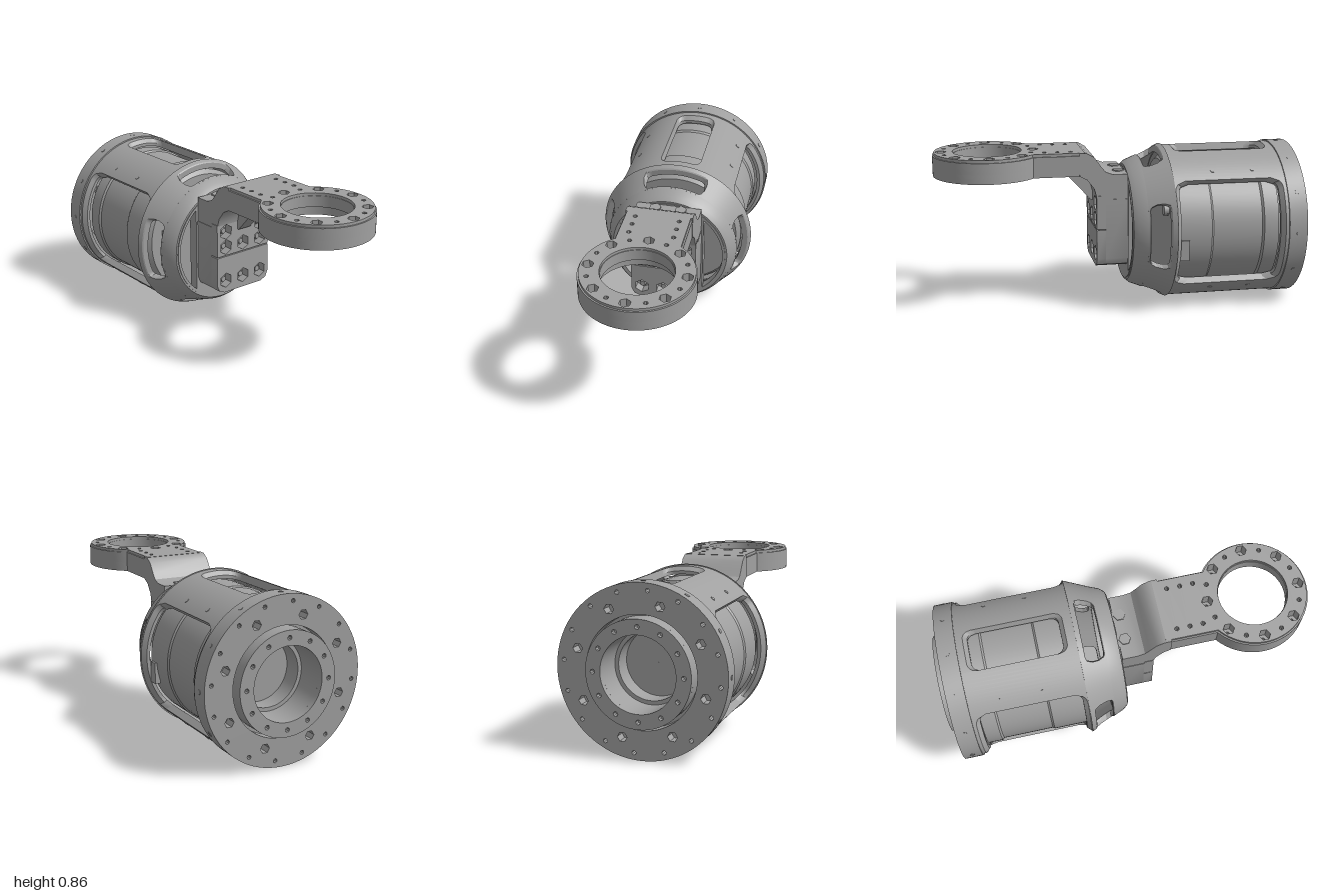
import * as THREE from 'three';
import { toCreasedNormals } from 'three/addons/utils/BufferGeometryUtils.js';

const CY = 0.43; // height of the drum axis
const TAU = Math.PI * 2;
const metal = new THREE.MeshStandardMaterial({ color: 0xa0a0a0 });
metal.name = 'grey metal';

// Sweep a closed (r, z) loop around the drum axis from angle t0 to t1
function sweep(t0, t1, n, loopAt) {
  const pos = [];
  const rings = [];
  for (let i = 0; i <= n; i++) {
    const t = t0 + (t1 - t0) * i / n;
    rings.push(loopAt(t).map(([r, z]) => [r * Math.cos(t), CY + r * Math.sin(t), z]));
  }
  const m = rings[0].length;
  for (let i = 0; i < n; i++) for (let j = 0; j < m; j++) {
    const k = (j + 1) % m;
    const a = rings[i][j], b = rings[i + 1][j], c = rings[i + 1][k], d = rings[i][k];
    pos.push(...a, ...b, ...c, ...a, ...c, ...d);
  }
  if (t1 - t0 < TAU - 0.001) {
    const cap = (t, ring, flip) => {
      const pts = loopAt(t).map(([r, z]) => new THREE.Vector2(r, z));
      for (const f of THREE.ShapeUtils.triangulateShape(pts, [])) {
        const [a, b, c] = flip ? [f[0], f[2], f[1]] : f;
        pos.push(...ring[a], ...ring[b], ...ring[c]);
      }
    };
    cap(t0, rings[0], false);
    cap(t1, rings[n], true);
  }
  const g = new THREE.BufferGeometry();
  g.setAttribute('position', new THREE.Float32BufferAttribute(pos, 3));
  return toCreasedNormals(g, 0.5);
}

// Regular polygon path, used for bolt pockets and small holes
function poly(x, y, r, n, turn = 0) {
  const pts = [];
  for (let i = 0; i < n; i++) {
    const a = turn + TAU * i / n;
    pts.push(new THREE.Vector2(x + r * Math.cos(a), y + r * Math.sin(a)));
  }
  return new THREE.Path(pts);
}

const shapeOf = (pts) => new THREE.Shape(pts.map(([x, y]) => new THREE.Vector2(x, y)));

function extrude(shape, depth, bevel = 0) {
  return toCreasedNormals(new THREE.ExtrudeGeometry(shape, {
    depth: depth - 2 * bevel, curveSegments: 40, bevelEnabled: bevel > 0,
    bevelSize: bevel, bevelThickness: bevel, bevelOffset: 0, bevelSegments: 2,
  }).translate(0, 0, bevel), 0.5);
}

// n points on a circle
function around(n, r, x, y, start = 0) {
  return Array.from({ length: n }, (_, i) => {
    const a = start + TAU * i / n;
    return [x + r * Math.cos(a), y + r * Math.sin(a)];
  });
}

export function createModel() {
  const model = new THREE.Group();
  const add = (name, geo, parent = model) => {
    const mesh = new THREE.Mesh(geo, metal);
    mesh.name = name;
    parent.add(mesh);
    return mesh;
  };

  // Band of shell with four rounded windows
  function windowedBand(name, z0, z1, wins, R, th, ch) {
    const group = new THREE.Group();
    group.name = name;
    model.add(group);
    wins.forEach((w, i) => {
      const corner = (t) => {
        const d = Math.max(0, (w.h - Math.abs(t - w.at)) * R(w.a));
        return d < w.rc ? w.rc - Math.sqrt(Math.max(0, w.rc ** 2 - (w.rc - d) ** 2)) : 0;
      };
      add('windowFrontEdge', sweep(w.at - w.h, w.at + w.h, 32, (t) => {
        const z = w.b - corner(t);
        return [[R(z) - th, z], [R(z) - ch, z], [R(z + ch), z + ch], [R(z1), z1], [R(z1) - th, z1]];
      }), group);
      add('windowBackEdge', sweep(w.at - w.h, w.at + w.h, 32, (t) => {
        const z = w.a + corner(t);
        return [[R(z0) - th, z0], [R(z0), z0], [R(z - ch), z - ch], [R(z) - ch, z], [R(z) - th, z]];
      }), group);
      const next = wins[(i + 1) % 4];
      const end = next.at - next.h + (i === 3 ? TAU : 0);
      add('bar', sweep(w.at + w.h, end, 12, () =>
        [[R(z0) - th, z0], [R(z0), z0], [R(z1), z1], [R(z1) - th, z1]]), group);
    });
  }

  // Barrel: wide side windows, narrow top and bottom windows
  const quarter = [0, 1, 2, 3].map((i) => i * Math.PI / 2);
  windowedBand('barrel', -0.87, -0.24, quarter.map((at, i) => i % 2
    ? { at, h: 0.27, a: -0.8, b: -0.32, rc: 0.045 }
    : { at, h: 0.74, a: -0.82, b: -0.275, rc: 0.06 }), () => 0.422, 0.04, 0.022);

  // Tapered nose with four slots, then its front lip
  windowedBand('nose', -0.25, -0.11, quarter.map((at) =>
    ({ at, h: 0.46, a: -0.222, b: -0.122, rc: 0.035 })),
  (z) => 0.428 - 0.45 * (z + 0.25), 0.035, 0.004);
  add('noseLip', sweep(0, TAU, 72, () =>
    [[0.31, -0.11], [0.365, -0.11], [0.345, -0.06], [0.325, -0.035], [0.31, -0.035]]));

  // Front plate with two D-shaped openings
  const front = new THREE.Shape().absarc(0, 0, 0.315, 0, TAU);
  for (const s of [0, Math.PI]) {
    const half = Math.acos(0.19 / 0.3);
    front.holes.push(new THREE.Path().absarc(0, 0, 0.3, s - half, s + half, false));
  }
  add('frontPlate', extrude(front, 0.055)).position.set(0, CY, -0.085);

  // Motor body with a stepped rear bore
  add('motor', sweep(0, TAU, 72, () => [
    [0.001, -0.72], [0.17, -0.72], [0.17, -0.82], [0.19, -0.82], [0.19, -0.97], [0.265, -0.97],
    [0.265, -0.9], [0.4, -0.9], [0.4, -0.87], [0.34, -0.87], [0.34, -0.83], [0.37, -0.82],
    [0.37, -0.74], [0.361, -0.73], [0.361, -0.46], [0.368, -0.45], [0.368, -0.26], [0.345, -0.235],
    [0.001, -0.235]]));
  add('cableSocket', new THREE.BoxGeometry(0.03, 0.11, 0.05)).position.set(0.362, 0.35, -0.3);
  add('terminal', new THREE.BoxGeometry(0.09, 0.13, 0.03)).position.set(-0.23, 0.44, -0.225);
  for (const [x, y] of [[0.255, 0.55], [-0.255, 0.315]]) {
    add('motorBolt', new THREE.CylinderGeometry(0.033, 0.033, 0.03, 6).rotateX(Math.PI / 2))
      .position.set(x, y, -0.222);
  }

  // Rear flange and raised hub with bolt holes
  const flange = new THREE.Shape().absarc(0, 0, 0.43, 0, TAU);
  flange.holes.push(new THREE.Path().absarc(0, 0, 0.28, 0, TAU));
  for (const [x, y] of around(8, 0.335, 0, 0, 0.3)) flange.holes.push(poly(x, y, 0.025, 6));
  for (const [x, y] of around(16, 0.395, 0, 0, 0.1)) flange.holes.push(poly(x, y, 0.011, 8));
  add('rearFlange', extrude(flange, 0.1)).position.set(0, CY, -0.96);
  const hub = new THREE.Shape().absarc(0, 0, 0.265, 0, TAU);
  hub.holes.push(new THREE.Path().absarc(0, 0, 0.19, 0, TAU));
  for (const [x, y] of around(12, 0.228, 0, 0)) hub.holes.push(poly(x, y, 0.012, 8));
  add('rearHub', extrude(hub, 0.03)).position.set(0, CY, -1);

  // Small radial screws on the flange rim and the barrel bars
  const screw = (t, r, z) => {
    const m = add('radialScrew', new THREE.CylinderGeometry(0.013, 0.013, 0.01, 6));
    m.position.set(r * Math.cos(t), CY + r * Math.sin(t), z);
    m.rotation.z = t - Math.PI / 2;
  };
  for (let i = 0; i < 12; i++) screw(i * TAU / 12, 0.427, -0.91);
  for (const t of [0.88, Math.PI - 0.88, Math.PI + 0.88, -0.88]) {
    for (const z of [-0.47, -0.69]) screw(t, 0.419, z);
  }

  // Mounting block: solid back and two front pads with hexagonal pockets
  const blockShape = (y0, y1, c) => shapeOf([[-0.18 + c, y0], [0.18 - c, y0], [0.18 - c * 0.3, y0 + c * 0.3],
    [0.18, y0 + c], [0.18, y1], [-0.18, y1], [-0.18, y0 + c], [-0.18 + c * 0.3, y0 + c * 0.3]]);
  add('blockBack', extrude(blockShape(0.22, 0.6, 0.05), 0.12)).position.z = -0.03;
  const lower = blockShape(0.22, 0.43, 0.05);
  for (const x of [-0.12, 0, 0.12]) lower.holes.push(poly(x, 0.29, 0.042, 6, 0.5));
  add('lowerPad', extrude(lower, 0.05)).position.z = 0.09;
  const upper = shapeOf([[-0.18, 0.436], [0.18, 0.436], [0.18, 0.62], [-0.18, 0.62]]);
  const upperBolts = [[-0.12, 0.485], [0, 0.485], [0.12, 0.485], [-0.12, 0.573], [0.12, 0.573]];
  for (const [x, y] of upperBolts) upper.holes.push(poly(x, y, 0.042, 6, 0.5));
  add('upperPad', extrude(upper, 0.05)).position.z = 0.09;
  for (const [x, y] of [...upperBolts, [-0.12, 0.29], [0, 0.29], [0.12, 0.29]]) {
    add('blockBolt', new THREE.CylinderGeometry(0.016, 0.024, 0.03, 6).rotateX(Math.PI / 2))
      .position.set(x, y, 0.105);
  }

  // Elbow and gusset joining the block to the arm, drawn as (z, y) profiles
  const sideways = (name, pts, w) =>
    add(name, extrude(shapeOf(pts), w).rotateY(-Math.PI / 2).translate(w / 2, 0, 0));
  sideways('elbow', [[0.23, 0.855], [0.19, 0.853], [0.15, 0.83], [0.115, 0.78], [0.09, 0.75], [0.05, 0.735],
    [-0.03, 0.735], [-0.03, 0.6], [0.09, 0.6], [0.09, 0.615], [0.14, 0.615], [0.152, 0.66],
    [0.19, 0.71], [0.23, 0.73]], 0.355);
  sideways('gusset', [[0.13, 0.57], [0.15, 0.57], [0.3, 0.735], [0.13, 0.735]], 0.08);
  for (const x of [-0.07, 0.07]) {
    add('elbowBolt', new THREE.CylinderGeometry(0.033, 0.033, 0.012, 6)).position.set(x, 0.736, 0.005);
  }

  // Arm plate ending in a ring; shape y is -z
  const RZ = -0.705;
  const armShape = (inset, bore, bolt, sides) => {
    const w = 0.175 - inset, r = 0.29 - inset, a = Math.acos(w / r);
    const s = new THREE.Shape();
    s.moveTo(w, -0.2).lineTo(-w, -0.2).lineTo(-w, RZ + r * Math.sin(a));
    s.absarc(0, RZ, r, Math.PI - a, TAU + a, false);
    s.holes.push(new THREE.Path().absarc(0, RZ, bore, 0, TAU));
    for (const [x, y] of around(8, 0.245, 0, RZ)) s.holes.push(poly(x, y, bolt, sides, 0.5));
    for (const [x, y] of around(8, 0.245, 0, RZ, Math.PI / 8)) s.holes.push(poly(x, y, 0.012, 8));
    for (const z of [0.27, 0.34, 0.41]) {
      for (const x of [-0.115, 0.115]) s.holes.push(poly(x, -z, 0.012, 8));
    }
    return s;
  };
  const arm = new THREE.Group();
  arm.name = 'armRing';
  model.add(arm);
  const layer = (name, shape, y, h) =>
    add(name, extrude(shape, h).rotateX(-Math.PI / 2).translate(0, y, 0), arm);
  layer('armLower', armShape(0, 0.205, 0.012, 8), 0.73, 0.05);
  layer('armUpper', armShape(0, 0.18, 0.03, 6), 0.78, 0.06);
  layer('armTopEdge', armShape(0.008, 0.183, 0.03, 6), 0.84, 0.015);

  return model;
}
